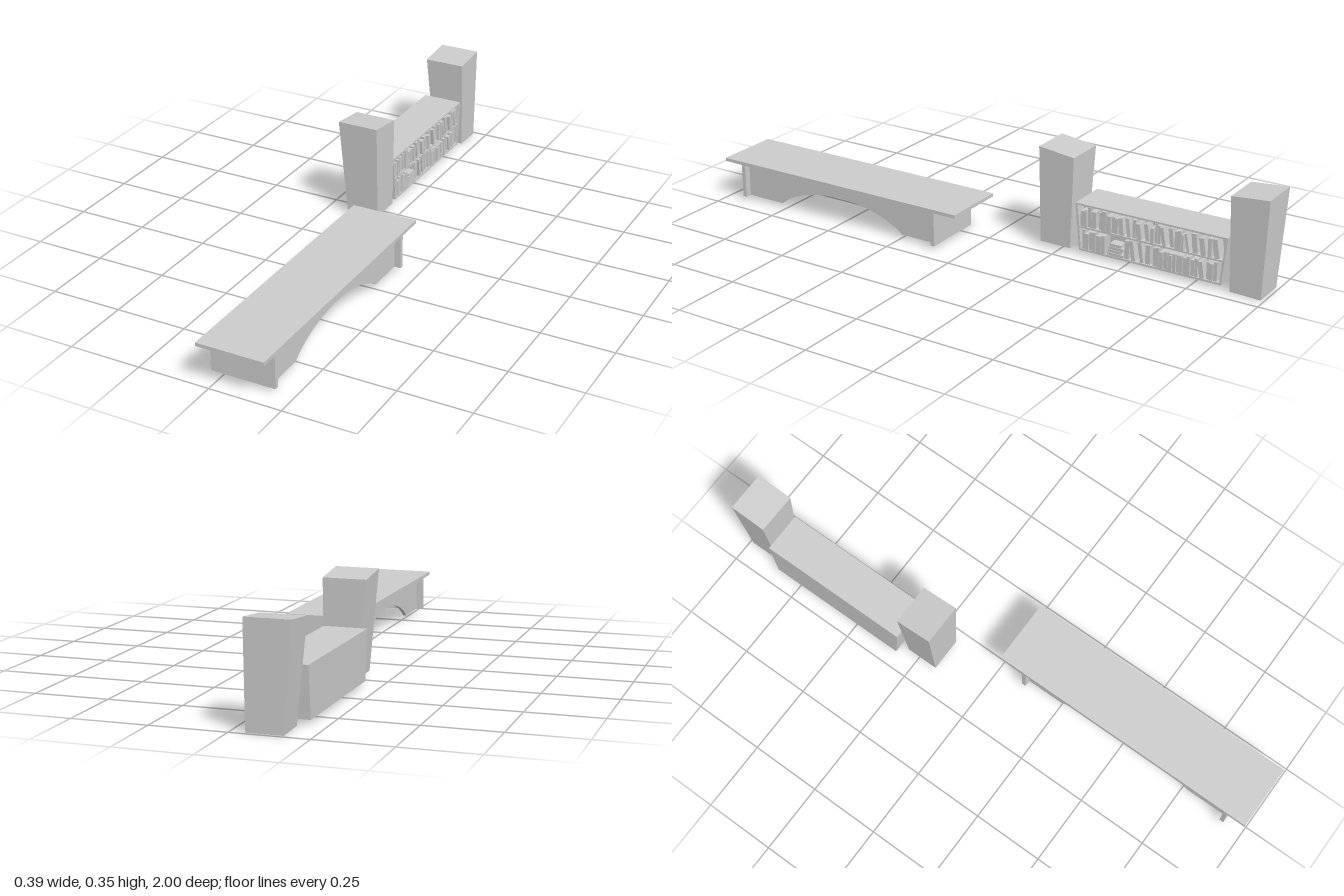
import * as THREE from 'three';

const grey = new THREE.MeshStandardMaterial({ color: 0xcccccc });
const greyOpen = new THREE.MeshStandardMaterial({ color: 0xcccccc, side: THREE.DoubleSide });

// Everything is built in a "facing" frame: u runs towards the back (-z), y is up, d is depth (+x).
function add(parent, name, geometry, material = grey) {
  const mesh = new THREE.Mesh(geometry, material);
  mesh.name = name;
  parent.add(mesh);
  return mesh;
}

function box(parent, name, u0, u1, y0, y1, d0, d1) {
  const mesh = add(parent, name, new THREE.BoxGeometry(u1 - u0, y1 - y0, d1 - d0));
  mesh.position.set((u0 + u1) / 2, (y0 + y1) / 2, (d0 + d1) / 2);
  return mesh;
}

const polygon = (pts, Type = THREE.Shape) => new Type(pts.map(p => new THREE.Vector2(...p)));

function slab(shape, d0, d1) {
  return new THREE.ExtrudeGeometry(shape, { depth: d1 - d0, bevelEnabled: false, curveSegments: 40 })
    .translate(0, 0, d0);
}

function seeded(seed) {
  return () => (seed = (seed * 16807) % 2147483647) / 2147483647;
}

// Low table with arched side aprons
function makeTable() {
  const table = new THREE.Group();
  table.name = 'table';
  box(table, 'tableTop', -1, -0.01, 0.137, 0.149, -0.04, 0.195);
  box(table, 'frontEndPanel', -0.93, -0.915, 0.015, 0.137, -0.035, 0.19);
  box(table, 'backEndPanel', -0.112, -0.097, 0.015, 0.137, -0.035, 0.19);
  const apron = new THREE.Shape();
  apron.moveTo(-0.915, 0.015);
  apron.lineTo(-0.77, 0.015);
  apron.bezierCurveTo(-0.65, 0.115, -0.37, 0.115, -0.245, 0.015);
  apron.lineTo(-0.112, 0.015);
  apron.lineTo(-0.112, 0.137);
  apron.lineTo(-0.915, 0.137);
  for (const [name, d] of [['leftApron', 0.155], ['rightApron', -0.012]]) {
    add(table, name, slab(apron, d, d + 0.012));
  }
  return table;
}

// Tapered speaker with a recessed round tweeter and oval woofer
function makeSpeaker(name, s) {
  const speaker = new THREE.Group();
  speaker.name = name;
  const split = s.front - 0.02;

  const body = new THREE.BoxGeometry(1, 1, 1).toNonIndexed();
  const pos = body.attributes.position;
  for (let i = 0; i < pos.count; i++) {
    const right = pos.getX(i) > 0, top = pos.getY(i) > 0, front = pos.getZ(i) > 0;
    const [u, y] = s.face[top ? (right ? 2 : 3) : (right ? 1 : 0)];
    pos.setXYZ(i, u, y, front ? split : top ? s.backTop : s.backBottom);
  }
  body.computeVertexNormals();
  add(speaker, 'cabinet', body);

  const drivers = [
    { name: 'tweeter', y: s.tweeterY, ru: 0.04, ry: 0.04 },
    { name: 'woofer', y: s.wooferY, ru: 0.038, ry: 0.074 },
  ];
  const baffle = polygon(s.face);
  const profile = [[0, 0.01], [0.15, 0.009], [0.3, 0.005], [0.36, 0.001], [0.75, 0.009], [0.78, 0.013],
    [0.86, 0.016], [0.93, 0.013], [1, 0.012]].map(p => new THREE.Vector2(...p));
  for (const k of drivers) {
    const hole = new THREE.Path();
    hole.absellipse(s.u, k.y, k.ru, k.ry, 0, Math.PI * 2, true);
    baffle.holes.push(hole);
    const cone = add(speaker, k.name, new THREE.LatheGeometry(profile, 40).rotateX(Math.PI / 2), greyOpen);
    cone.scale.set(k.ru, k.ry, 1);
    cone.position.set(s.u, k.y, split);
  }
  add(speaker, 'baffle', slab(baffle, split, s.front));
  return speaker;
}

// Bookcase with splayed ends and two rows of books
function makeBookcase() {
  const bookcase = new THREE.Group();
  bookcase.name = 'bookcase';
  const y0 = 0.015, y1 = 0.182;
  const inset = y => 0.017 * (y1 - y) / (y1 - y0);
  const outline = (a, b, t) => [
    [0.308 + inset(a) + t, a], [0.864 - inset(a) - t, a],
    [0.864 - inset(b) - t, b], [0.308 + inset(b) + t, b]];
  const rows = [[0.022, 0.096], [0.102, 0.176]];

  add(bookcase, 'caseBack', slab(polygon(outline(y0, y1, 0)), -0.197, -0.09));
  const frame = polygon(outline(y0, y1, 0));
  for (const [a, b] of rows) frame.holes.push(polygon(outline(a, b, 0.007), THREE.Path));
  add(bookcase, 'caseFrame', slab(frame, -0.09, -0.051));

  const random = seeded(4127);
  const stackStart = 0.43, stackEnd = 0.49;
  rows.forEach(([a, b], row) => {
    let u = 0.319 + inset(a);
    const end = 0.853 - inset(a);
    while (u < end - 0.02) {
      // Leave room for the lying stack in the lower row
      if (row === 0 && u > stackStart - 0.022 && u < stackEnd) {
        u = stackEnd + 0.003;
        continue;
      }
      const w = 0.008 + random() * 0.01;
      const h = (b - a) * (0.72 + random() * 0.24);
      const front = -0.058 + random() * 0.01;
      const book = box(bookcase, 'book', u, u + w, a, a + h, -0.09, front);
      u += w + 0.0015;
      if (random() < 0.16) {
        const lean = 0.1 + random() * 0.08;
        book.rotation.z = lean;
        book.position.x += Math.sin(lean) * h / 2;
        book.position.y = a + (h * Math.cos(lean) + w * Math.sin(lean)) / 2;
        u += Math.sin(lean) * h + 0.003;
      } else if (random() < 0.1) u += 0.01;
    }
  });
  for (let i = 0; i < 4; i++) {
    const y = rows[0][0] + i * 0.011;
    box(bookcase, 'stackedBook', stackStart + i * 0.003, stackEnd - (i % 2) * 0.008, y, y + 0.0095, -0.09, -0.053);
  }
  // A few books pulled forward
  for (const [u, a, h] of [[0.66, 0.022, 0.055], [0.69, 0.102, 0.068]]) {
    box(bookcase, 'pulledBook', u, u + 0.012, a, a + h, -0.09, -0.046);
  }
  return bookcase;
}

export function createModel() {
  const model = new THREE.Group();
  model.name = 'livingRoomSet';
  const facing = new THREE.Group();
  facing.name = 'furniture';
  facing.rotation.y = Math.PI / 2;
  model.add(facing);
  facing.add(makeTable(), makeBookcase());
  facing.add(makeSpeaker('nearSpeaker', {
    face: [[0.178, 0.015], [0.293, 0.015], [0.301, 0.338], [0.168, 0.354]],
    front: -0.046, backTop: -0.193, backBottom: -0.165, u: 0.233, tweeterY: 0.293, wooferY: 0.127,
  }));
  facing.add(makeSpeaker('farSpeaker', {
    face: [[0.88, 0.003], [0.988, 0], [1, 0.34], [0.867, 0.328]],
    front: -0.048, backTop: -0.195, backBottom: -0.166, u: 0.933, tweeterY: 0.28, wooferY: 0.12,
  }));
  return model;
}
